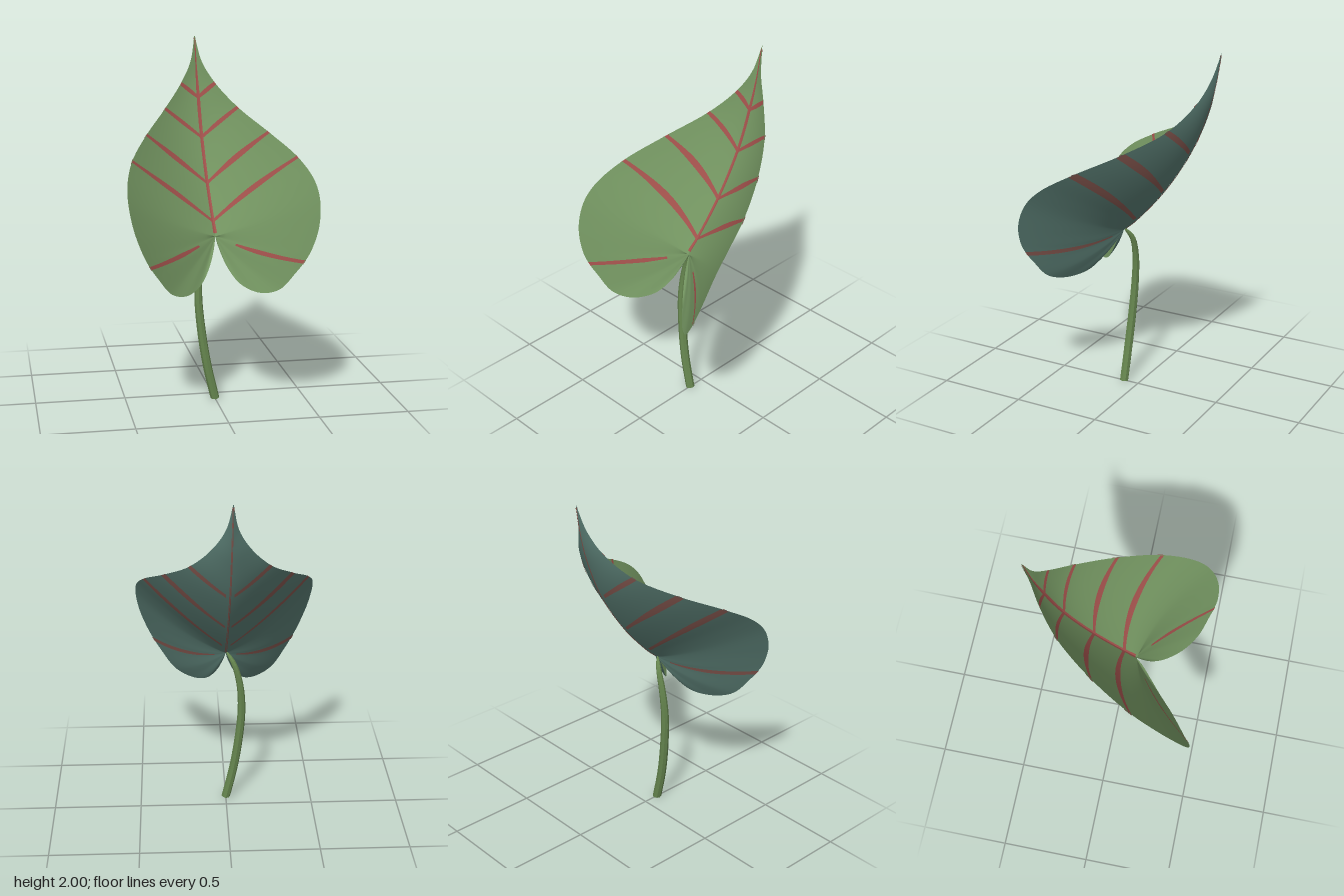
import * as THREE from 'three';

const V = (x, y, z) => new THREE.Vector3(x, y, z);
const { lerp, clamp, smoothstep } = THREE.MathUtils;
const mat = (name, color, side = THREE.FrontSide) => {
  const m = new THREE.MeshStandardMaterial({ color, side });
  m.name = name;
  return m;
};

// Half outline from the tip, round the lobe and back to the leaf base: x, y, z, cupping
const ROWS = [
  [0, 2, -0.483, 0], [0.033, 1.85, -0.44, 0.002], [0.1, 1.73, -0.388, 0.01],
  [0.21, 1.6, -0.28, 0.02], [0.345, 1.48, -0.08, 0.038], [0.455, 1.37, 0.147, 0.052],
  [0.503, 1.27, 0.32, 0.053], [0.51, 1.18, 0.41, 0.05], [0.49, 1.05, 0.47, 0.045],
  [0.445, 0.925, 0.485, 0.04], [0.41, 0.86, 0.475, 0.035], [0.37, 0.8, 0.455, 0.03],
  [0.29, 0.7, 0.415, 0.025], [0.2, 0.67, 0.35, 0.017], [0.11, 0.7, 0.26, 0.01],
  [0.05, 0.78, 0.19, 0.004], [0.012, 0.88, 0.13, 0], [0, 0.935, 0.09, 0],
];
// Midrib points matching the first rows; later rows fan out from its end
const RIB = [
  [2, -0.483], [1.8, -0.448], [1.65, -0.405], [1.43, -0.312],
  [1.19, -0.155], [1.0, 0.015], [0.96, 0.06], [0.935, 0.09],
];
const LAST = ROWS.length - 1;
const edge = new THREE.CatmullRomCurve3(ROWS.map(r => V(r[0], r[1], r[2])));
const rib = new THREE.CatmullRomCurve3(RIB.map(r => V(0, r[0], r[1])));

// Point on the half blade: u runs along the rows, v from midrib to edge
function surf(u, v, under) {
  u = clamp(u, 0, LAST);
  const p = rib.getPoint(Math.min(u / (RIB.length - 1), 1)).lerp(edge.getPoint(u / LAST), v);
  const i = Math.min(Math.floor(u), LAST - 1);
  const cup = lerp(ROWS[i][3], ROWS[i + 1][3], u - i) * 4 * v * (1 - v);
  p.y -= cup * 0.7 * smoothstep(u, 5, 9);
  p.z -= cup;
  // the upper face is a little fuller than the underside
  if (!under) p.z += Math.min(1, u / 2) * (1 - v * v) * lerp(0.016, 0.005, smoothstep(u, 6, 9));
  return p;
}
const slope = (u, v, under) => [
  surf(u + 0.02, v, under).sub(surf(u - 0.02, v, under)).multiplyScalar(25),
  surf(u, v + 0.01, under).sub(surf(u, v - 0.01, under)).multiplyScalar(50),
];
function raised(u, v, under) {
  const [du, dv] = slope(u, v, under);
  return surf(u, v, under).addScaledVector(du.cross(dv).normalize(), under ? -0.003 : 0.003);
}

// Grid sheet from a rule, mirrored for side -1 and turned over for the underside
function sheet(rule, na, nb, side, under) {
  const pos = [], idx = [];
  for (let i = 0; i <= na; i++) for (let j = 0; j <= nb; j++) {
    const p = rule(i / na, j / nb);
    pos.push(p.x * side - 0.015 * Math.max(0, p.y - 1), p.y, p.z);
  }
  const flip = (side < 0) !== under;
  for (let i = 0; i < na; i++) for (let j = 0; j < nb; j++) {
    const a = i * (nb + 1) + j, b = a + nb + 1, c = a + 1, d = b + 1;
    idx.push(...(flip ? [a, c, b, c, d, b] : [a, b, c, c, b, d]));
  }
  const g = new THREE.BufferGeometry();
  g.setAttribute('position', new THREE.Float32BufferAttribute(pos, 3));
  g.setIndex(idx);
  g.computeVertexNormals();
  return g;
}

export function createModel() {
  const model = new THREE.Group();
  model.name = 'heartLeaf';
  const green = mat('leafGreen', 0x71925f);
  const teal = mat('undersideTeal', 0x587a71);
  const red = mat('veinRed', 0x9e4f4a, THREE.DoubleSide);
  const dullRed = mat('undersideVeinRed', 0x85574f, THREE.DoubleSide);
  const stemGreen = mat('stemGreen', 0x66864f);
  stemGreen.flatShading = true;
  const add = (name, geometry, material) => {
    const mesh = new THREE.Mesh(geometry, material);
    mesh.name = name;
    model.add(mesh);
  };

  for (const side of [1, -1]) for (const under of [false, true]) {
    const label = (side > 0 ? 'left' : 'right') + (under ? 'Under' : 'Upper');
    const veinMat = under ? dullRed : red;

    // Blade half
    add(label + 'Blade', sheet((a, b) => surf(a * (LAST - 0.02), b, under), 102, 18, side, under),
      under ? teal : green);

    // Midrib half
    add(label + 'Midrib', sheet((a, b) => {
      const u = 0.1 + a * 6.4;
      const half = under ? 0.006 : 0.008 + 0.005 * Math.min(1, a * 3);
      return raised(u, b * Math.min(1, half / slope(u, 0.02, under)[1].length()), under);
    }, 50, 1, side, under), veinMat);

    // Side veins, swelling towards the outer half: row and starting point
    const veins = under ? [[3, 0.1], [4, 0.05], [5, 0.05], [10, 0.15]]
      : [[2, 0], [3, 0], [4, 0], [5, 0], [10, 0.25]];
    for (const [row, start] of veins) {
      const swell = row === 4 || row === 5 ? 1 : 0.3;
      add(label + 'Vein', sheet((a, b) => {
        const v = start + (1 - start) * b;
        const half = under ? 0.012 + 0.013 * swell * smoothstep(v, 0.1, 0.8)
          : 0.011 + 0.008 * swell * Math.sin(Math.PI * v) ** 2;
        const du = Math.min(0.4, half / slope(row, v, under)[0].length());
        return raised(row + (a * 2 - 1) * du, v, under);
      }, 4, 24, side, under), veinMat);
    }
  }

  // Stem: faceted tube along a bent path, closing to a point under the blade
  const path = new THREE.CatmullRomCurve3([
    V(0, 0, 0.092), V(-0.045, 0.2, 0.088), V(-0.075, 0.4, 0.078), V(-0.09, 0.6, 0.067),
    V(-0.078, 0.76, 0.057), V(-0.045, 0.88, 0.06), V(0, 0.95, 0.09),
  ]);
  const steps = 40, sides = 8;
  const stem = new THREE.TubeGeometry(path, steps, 0.025, sides);
  const pos = stem.attributes.position, p = V(0, 0, 0);
  for (let i = 0; i < pos.count; i++) {
    const t = Math.floor(i / (sides + 1)) / steps;
    const c = path.getPointAt(t);
    p.fromBufferAttribute(pos, i).sub(c).multiplyScalar(1 - 0.5 * t ** 3 - 0.49 * t ** 30).add(c);
    pos.setXYZ(i, p.x, Math.max(0, p.y), p.z);
  }
  add('stem', stem, stemGreen);

  // Cut end of the stem
  const cap = new THREE.CircleGeometry(0.025, sides);
  cap.rotateX(Math.PI / 2).translate(0, 0.001, 0.092);
  add('stemEnd', cap, stemGreen);

  return model;
}
